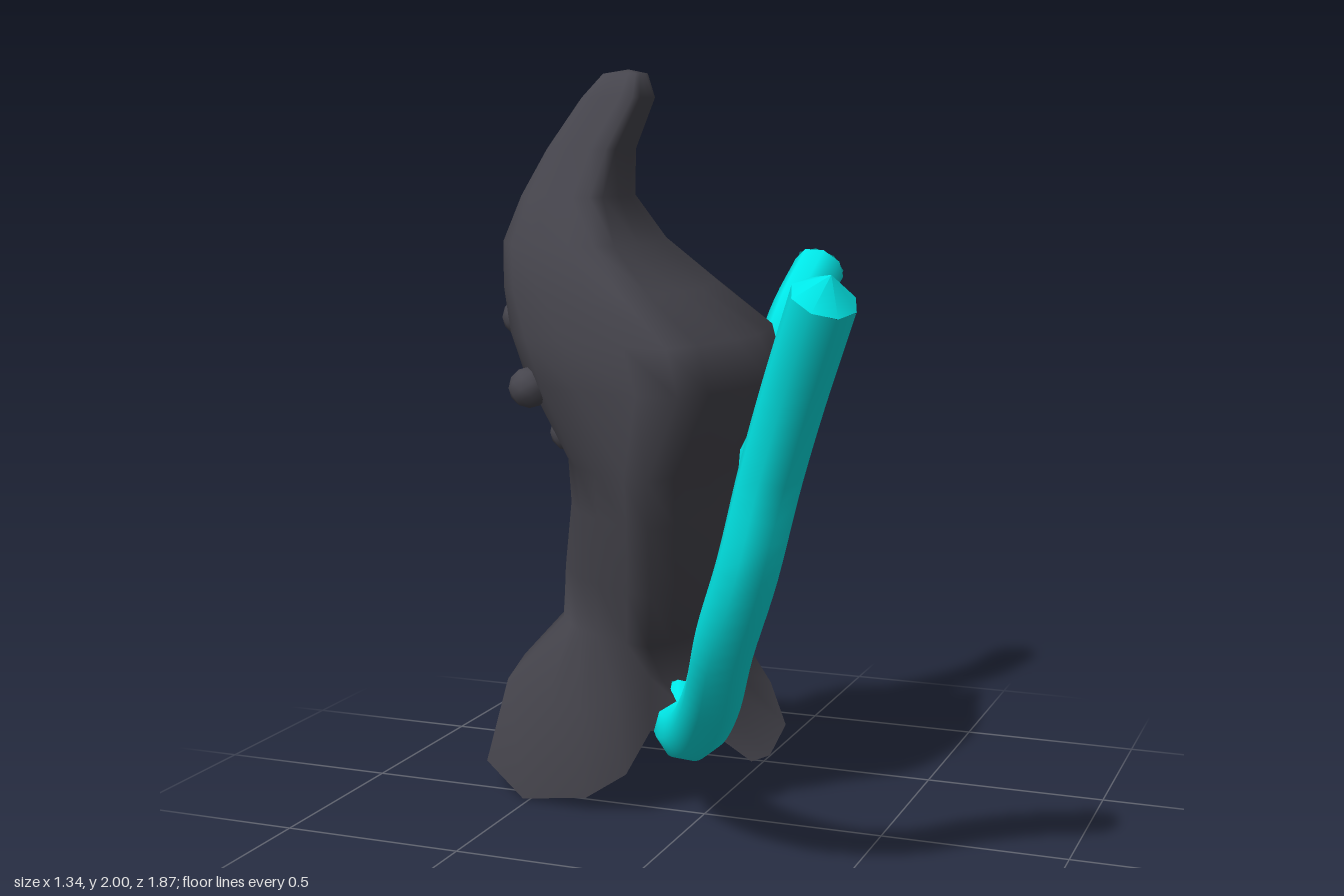
import * as THREE from 'three';

const N = 18; // points per ring
const HEX_HIGH = [[1, 0], [0.7, 1], [-0.56, 0.78], [-1, 0.17], [-0.5, -0.75], [0.67, -1]];
const HEX_LOW = [[1, 0.1], [0.6, 1], [-0.48, 0.6], [-1, 0.02], [-0.55, -0.75], [0.38, -1]];

// Body sections from the horn down: y, xMin, xMax, zMin, zMax
const SECTIONS = [
  [1.99, -0.22, -0.1, 0.11, 0.18],
  [1.93, -0.28, -0.085, 0.07, 0.21],
  [1.8, -0.375, -0.14, 0.05, 0.24],
  [1.68, -0.45, -0.16, -0.02, 0.28],
  [1.56, -0.515, -0.11, -0.17, 0.33],
  [1.44, -0.53, 0.0, -0.32, 0.37],
  [1.32, -0.52, 0.15, -0.4, 0.4],
  [1.2, -0.475, 0.185, -0.4, 0.41],
  [0.98, -0.39, 0.08, -0.42, 0.38],
  [0.85, -0.4, 0.07, -0.435, 0.34],
  [0.66, -0.44, 0.045, -0.425, 0.26],
  [0.5, -0.47, 0.0, -0.42, 0.17],
];

const vectors = list => list.map(p => new THREE.Vector3(...p));

// Shoulder of the three-lobed foot
const FLARE = vectors([
  [-0.03, 0.33, -0.17], [-0.08, 0.34, -0.09], [-0.12, 0.36, 0.0],
  [-0.12, 0.4, 0.1], [-0.2, 0.33, 0.13], [-0.31, 0.3, 0.13],
  [-0.42, 0.31, 0.1], [-0.58, 0.33, 0.02], [-0.57, 0.38, -0.07],
  [-0.51, 0.42, -0.2], [-0.53, 0.42, -0.35], [-0.46, 0.42, -0.5],
  [-0.39, 0.42, -0.57], [-0.27, 0.41, -0.56], [-0.16, 0.42, -0.48],
  [-0.08, 0.43, -0.42], [-0.02, 0.38, -0.4], [-0.02, 0.34, -0.28],
]);

// Hem of the three-lobed foot
const HEM = vectors([
  [0.12, 0.12, -0.2], [0.1, 0.13, -0.1], [0, 0.24, -0.01],
  [-0.13, 0.24, 0.07], [-0.19, 0.12, 0.1], [-0.31, 0.04, 0.1],
  [-0.52, 0.0, 0.06], [-0.67, 0.07, -0.02], [-0.66, 0.19, -0.09],
  [-0.54, 0.32, -0.22], [-0.58, 0.31, -0.42], [-0.5, 0.25, -0.62],
  [-0.4, 0.22, -0.66], [-0.27, 0.24, -0.62], [-0.15, 0.32, -0.53],
  [-0.07, 0.37, -0.43], [0.05, 0.27, -0.41], [0.11, 0.16, -0.37],
]);

function sectionRing([y, x0, x1, z0, z1]) {
  const low = THREE.MathUtils.smoothstep(-y, -1.25, -0.9);
  const pts = HEX_HIGH.map(([hu, hv], k) => {
    const u = THREE.MathUtils.lerp(hu, HEX_LOW[k][0], low);
    const v = THREE.MathUtils.lerp(hv, HEX_LOW[k][1], low);
    return new THREE.Vector3(
      (x0 + x1) / 2 + u * (x1 - x0) / 2, y, (z0 + z1) / 2 + v * (z1 - z0) / 2);
  });
  const curve = new THREE.CatmullRomCurve3(pts, true, 'catmullrom', 0.25);
  return Array.from({ length: N }, (_, i) => curve.getPoint(i / N));
}

// Skin a stack of rings (top to bottom); optional points close the ends
function loft(rings, topPoint, endPoint) {
  const pos = [], idx = [];
  rings.forEach(r => r.forEach(p => pos.push(p.x, p.y, p.z)));
  for (let r = 0; r < rings.length - 1; r++) {
    for (let i = 0; i < N; i++) {
      const j = (i + 1) % N, a = r * N + i, b = r * N + j;
      idx.push(a, b, a + N, b, b + N, a + N);
    }
  }
  const close = (p, start, flip) => {
    const c = pos.length / 3;
    pos.push(p.x, p.y, p.z);
    for (let i = 0; i < N; i++) {
      const a = start + i, b = start + (i + 1) % N;
      flip ? idx.push(c, b, a) : idx.push(a, b, c);
    }
  };
  if (topPoint) close(topPoint, 0, true);
  if (endPoint) close(endPoint, (rings.length - 1) * N, false);
  const g = new THREE.BufferGeometry();
  g.setAttribute('position', new THREE.Float32BufferAttribute(pos, 3));
  g.setIndex(idx);
  g.computeVertexNormals();
  return g;
}

export function createModel() {
  const group = new THREE.Group();
  const skin = new THREE.MeshStandardMaterial({ color: 0x47464e });
  skin.name = 'charcoal skin';
  const cyan = new THREE.MeshStandardMaterial({ color: 0x00e8e8 });
  cyan.name = 'bright cyan';
  const add = (geo, mat, name, parent = group) => {
    const m = new THREE.Mesh(geo, mat);
    m.name = name;
    parent.add(m);
    return m;
  };

  // Body flowing into the flared foot
  const rings = SECTIONS.map(sectionRing);
  add(loft([...rings, FLARE, HEM], new THREE.Vector3(-0.15, 2.0, 0.15)), skin, 'body');

  // Hollow underside of the foot
  const hub = new THREE.Vector3(-0.22, 0.36, -0.15);
  const inner = HEM.map(p => p.clone().lerp(hub, 0.6).setY(p.y * 0.3 + 0.22));
  add(loft([HEM, inner], null, hub), skin, 'footUnderside');

  // Eye bumps
  [[-0.53, 1.345, 0.0], [-0.375, 1.265, -0.225], [-0.41, 1.03, -0.04], [-0.385, 1.19, 0.265]]
    .forEach((p, i) => add(new THREE.IcosahedronGeometry(0.054, 1), skin, 'eye' + (i + 1))
      .position.set(...p));

  // Tentacles: bent tubes with blunt pointed ends
  const tentacle = (name, points) => {
    const t = new THREE.Group();
    t.name = name;
    group.add(t);
    const curve = new THREE.CatmullRomCurve3(vectors(points));
    add(new THREE.TubeGeometry(curve, 36, 0.077, 8, false), cyan, name + 'Tube', t);
    [0, 1].forEach(u => {
      const dir = curve.getTangent(u).multiplyScalar(u ? 1 : -1);
      const cap = add(new THREE.ConeGeometry(0.077, 0.06, 8), cyan, name + 'End', t);
      cap.quaternion.setFromUnitVectors(new THREE.Vector3(0, 1, 0), dir);
      cap.position.copy(curve.getPoint(u)).addScaledVector(dir, 0.03);
    });
  };
  tentacle('frontTentacle', [
    [-0.09, 0.29, -0.06], [-0.05, 0.25, 0.04], [0.05, 0.3, 0.2], [0.17, 0.45, 0.4],
    [0.27, 0.65, 0.58], [0.36, 0.85, 0.68], [0.43, 1.08, 0.725], [0.5, 1.27, 0.78],
    [0.6, 1.5, 0.875],
  ]);
  tentacle('backTentacle', [
    [-0.17, 0.34, -0.4], [-0.22, 0.21, -0.45], [-0.235, 0.18, -0.54], [-0.21, 0.29, -0.637],
    [-0.16, 0.5, -0.655], [-0.1, 0.8, -0.65], [-0.03, 1.1, -0.645], [0.02, 1.3, -0.7],
    [0.04, 1.435, -0.875],
  ]);
  return group;
}
